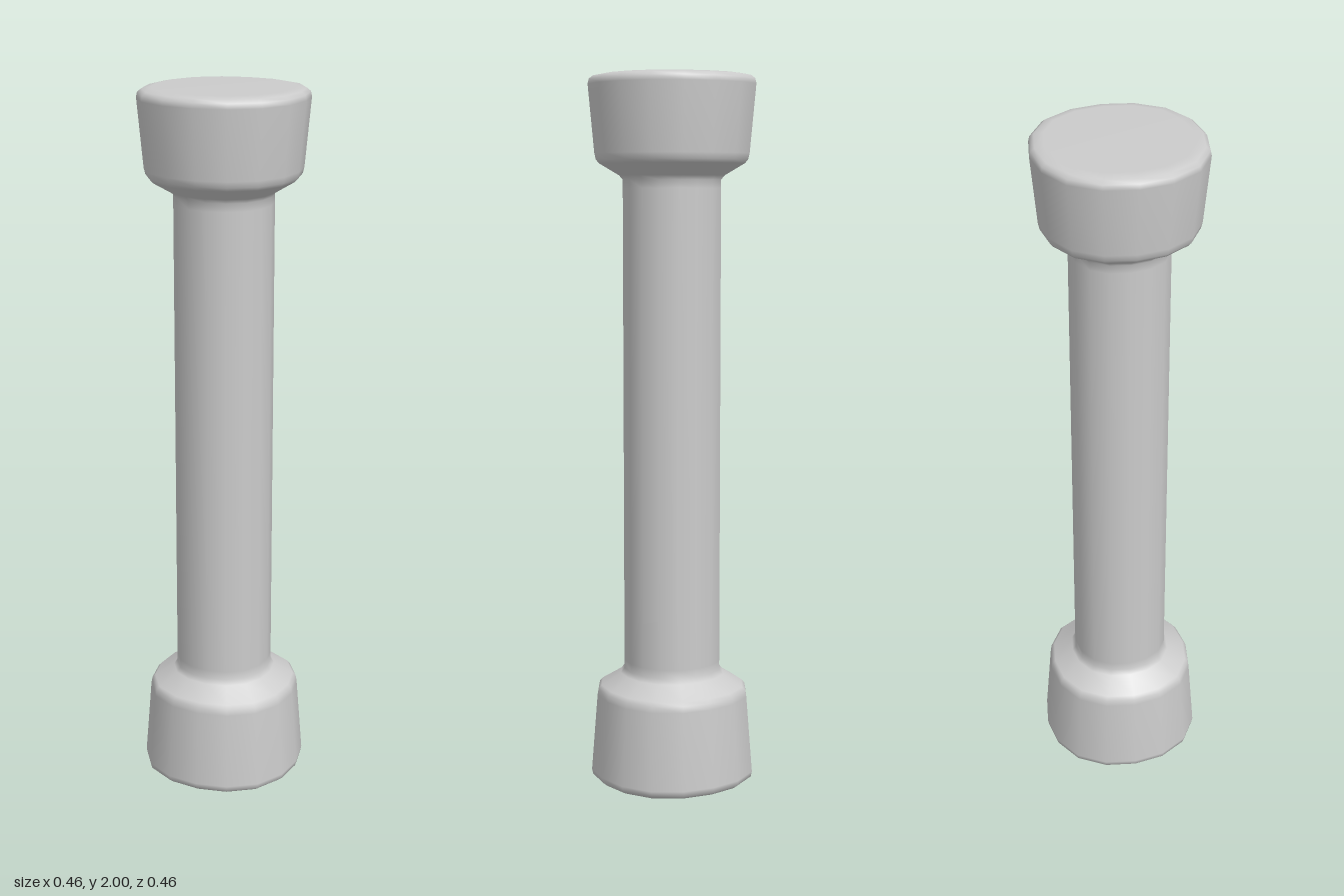
import * as THREE from 'three';

const SIDES = 16;

// Revolved part whose section is slightly squared toward the diagonals
function turned(name, profile, material) {
  const geo = new THREE.LatheGeometry(profile.map(([r, y]) => new THREE.Vector2(r, y)), SIDES);
  const pos = geo.attributes.position;
  for (let i = 0; i < pos.count; i++) {
    const x = pos.getX(i), z = pos.getZ(i);
    const k = 1 + 0.0175 * (1 - Math.cos(4 * Math.atan2(x, z)));
    pos.setX(i, x * k);
    pos.setZ(i, z * k);
  }
  const mesh = new THREE.Mesh(geo, material);
  mesh.name = name;
  return mesh;
}

export function createModel() {
  const group = new THREE.Group();
  group.name = 'handleBar';
  const material = new THREE.MeshStandardMaterial({ color: 0xcccccc });

  // Lower end cap: flat foot, rounded rim, tapered wall, sloped shoulder
  group.add(turned('lowerCap', [
    [0, 0], [0.19, 0], [0.215, 0.006], [0.226, 0.015], [0.229, 0.03],
    [0.212, 0.25], [0.209, 0.268], [0.2, 0.278],
    [0.145, 0.312], [0.135, 0.326], [0.135, 0.35],
  ], material));

  // Straight grip between the caps
  group.add(turned('shaft', [[0.135, 0.35], [0.135, 1.69]], material));

  // Upper end cap, a little shorter than the lower one
  group.add(turned('upperCap', [
    [0.135, 1.69], [0.135, 1.713], [0.145, 1.725],
    [0.2, 1.758], [0.208, 1.768], [0.212, 1.785],
    [0.229, 1.972], [0.226, 1.986], [0.215, 1.995], [0.19, 2], [0, 2],
  ], material));

  return group;
}
